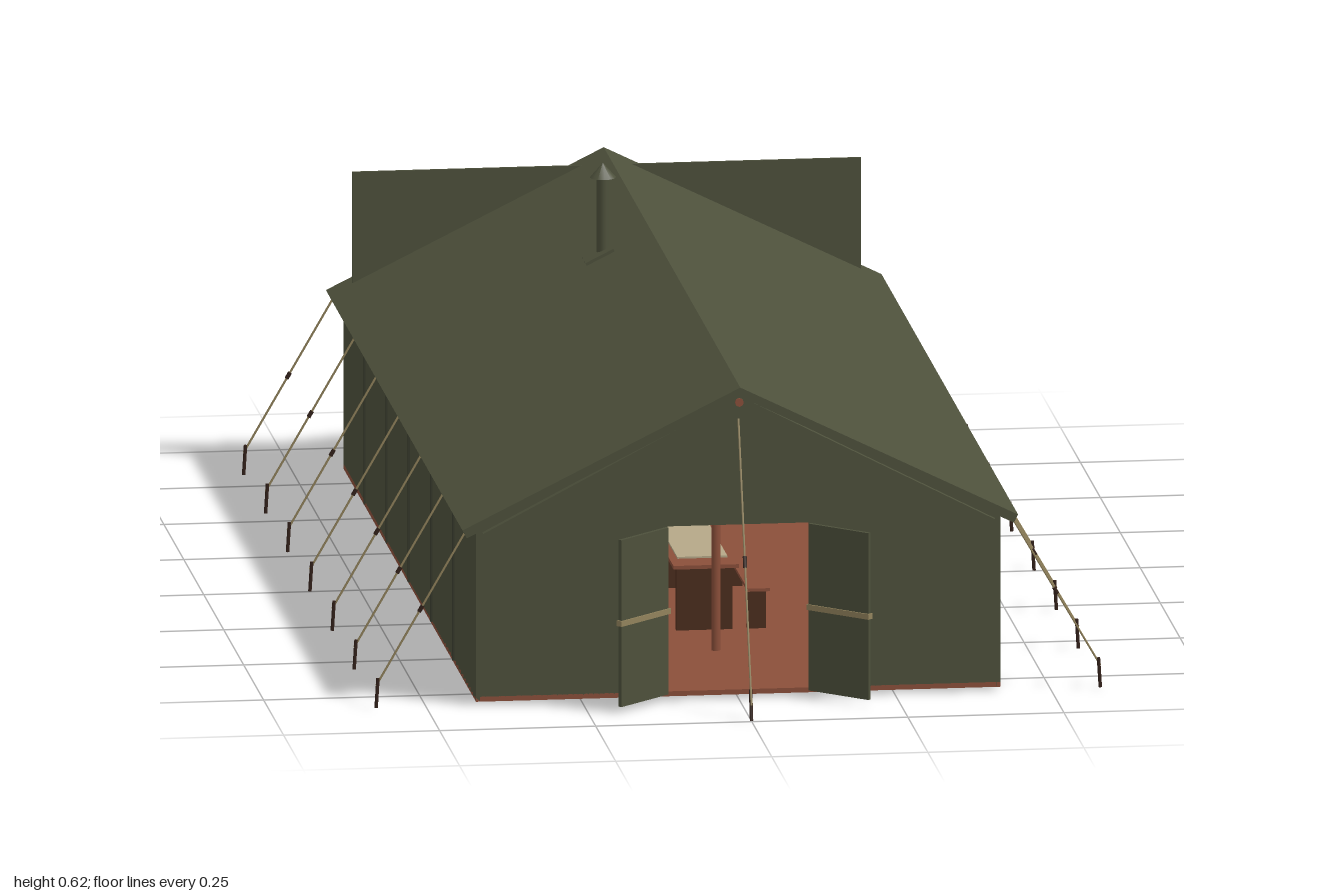
import * as THREE from 'three';

const mat = (name, color, side = THREE.FrontSide) => {
  const m = new THREE.MeshStandardMaterial({ color, side });
  m.name = name;
  return m;
};

export function createModel() {
  const canvas = mat('olive canvas', 0x4d503b);
  const seam = mat('dark olive seam', 0x34372a);
  const red = mat('red brown wood', 0x8b4f3a);
  const brown = mat('dark brown wood', 0x4b2c1c);
  const rope = mat('tan rope', 0x92835c);
  const cream = mat('cream cloth', 0xb5a888);
  const iron = mat('peg brown', 0x33211a);
  const root = new THREE.Group();
  root.name = 'tent';

  const add = (name, geo, material, x = 0, y = 0, z = 0, parent = root) => {
    const m = new THREE.Mesh(geo, material);
    m.name = name;
    m.position.set(x, y, z);
    parent.add(m);
    return m;
  };
  const box = (name, w, h, d, material, x, y, z, parent) =>
    add(name, new THREE.BoxGeometry(w, h, d), material, x, y, z, parent);
  // Outline in x and y, extruded along z from a starting depth
  const extrude = (name, pts, depth, z, material, hole) => {
    const shape = new THREE.Shape(pts.map(p => new THREE.Vector2(...p)));
    if (hole) shape.holes.push(new THREE.Path(hole.map(p => new THREE.Vector2(...p))));
    return add(name, new THREE.ExtrudeGeometry(shape, { depth, bevelEnabled: false }), material, 0, 0, z);
  };
  // Thin rod between two points
  const rod = (name, a, b, r, material, sides = 6) => {
    const p = new THREE.Vector3(...a), q = new THREE.Vector3(...b);
    const m = add(name, new THREE.CylinderGeometry(r, r, p.distanceTo(q), sides), material);
    m.position.copy(p).add(q).multiplyScalar(0.5);
    m.quaternion.setFromUnitVectors(new THREE.Vector3(0, 1, 0), q.sub(p).normalize());
    return m;
  };

  // Floor
  box('floor', 0.84, 0.008, 1.66, red, 0, 0.009, 0);

  // Side walls with vertical seams
  const stations = [0.83, 0.555, 0.28, 0, -0.28, -0.555, -0.83];
  for (const s of [-1, 1]) {
    box('sideWall', 0.006, 0.275, 1.66, canvas, s * 0.417, 0.1435, 0);
    for (const z of stations.slice(1, -1)) box('wallSeam', 0.004, 0.27, 0.006, seam, s * 0.421, 0.145, z);
  }

  // Gable walls, the front one cut for the doorway
  const gable = [[-0.42, 0.007], [0.42, 0.007], [0.42, 0.284], [0, 0.496], [-0.42, 0.284]];
  const door = [[-0.42, 0.007], [-0.113, 0.007], [-0.113, 0.282], [0.113, 0.282], [0.113, 0.007],
    [0.42, 0.007], [0.42, 0.284], [0, 0.496], [-0.42, 0.284]];
  extrude('frontWall', door, 0.006, 0.824, canvas);
  extrude('backWall', gable, 0.006, -0.83, canvas);

  // Roof slab and stepped gable bands
  extrude('roof', [[0, 0.511], [-0.445, 0.291], [-0.438, 0.278], [0, 0.496], [0.438, 0.278], [0.445, 0.291]],
    1.712, -0.856, canvas);
  const band = (end, top) => [[0, top], [-end, 0.281], [-end + 0.035, 0.281], [0, top - 0.017],
    [end - 0.035, 0.281], [end, 0.281]];
  for (const s of [-1, 1]) {
    extrude('gableBand', band(0.41, 0.494), 0.012, s > 0 ? 0.83 : -0.842, canvas);
    extrude('gableBandInner', band(0.375, 0.476), 0.005, s > 0 ? 0.83 : -0.835, canvas);
  }

  // Upright panel crossing the back of the roof
  box('rearPanel', 0.815, 0.185, 0.004, canvas, 0, 0.3985, -0.82);

  // Open door leaves with cross straps
  for (const s of [-1, 1]) {
    const leaf = new THREE.Group();
    leaf.name = 'doorLeaf';
    leaf.position.set(s * 0.114, 0, 0.832);
    leaf.rotation.y = Math.atan2(-0.08, s * 0.086);
    root.add(leaf);
    box('doorPanel', 0.117, 0.272, 0.006, canvas, 0.0585, 0.145, 0, leaf);
    box('doorStrap', 0.122, 0.009, 0.011, rope, 0.0585, 0.145, 0, leaf);
  }

  // Guy ropes with sliders and leaning pegs
  const guy = (top, foot, out) => {
    rod('guyRope', top, foot, 0.0018, rope);
    const mid = t => top.map((v, i) => v + (foot[i] - v) * t);
    rod('ropeSlider', mid(0.48), mid(0.52), 0.0035, iron);
    const peg = [foot[0], 0, foot[2]];
    rod('peg', [peg[0] - out[0] * 0.003, 0.048, peg[2] - out[1] * 0.012], peg, 0.003, iron);
  };
  for (const s of [-1, 1]) {
    for (const z of stations) guy([s * 0.437, 0.283, z], [s * 0.58, 0.036, z], [s, 0]);
    guy([0, 0.455, s * 0.832], [0, 0.025, s * 0.997], [0, s]);
  }

  // Ridge beam and poles
  rod('ridgeBeam', [0, 0.484, 0.845], [0, 0.484, -0.845], 0.007, red, 8);
  for (const z of [0.55, 0, -0.55]) rod('pole', [0, 0.012, z], [0, 0.48, z], 0.007, red, 8);

  // Stove, stovepipe, roof collar and cap
  box('stove', 0.07, 0.1, 0.11, seam, -0.075, 0.063, -0.28);
  rod('stovepipe', [-0.075, 0.11, -0.28], [-0.075, 0.6, -0.28], 0.01, canvas, 12);
  add('chimneyCap', new THREE.ConeGeometry(0.021, 0.024, 12), canvas, -0.075, 0.608, -0.28);
  box('roofCollar', 0.05, 0.006, 0.06, canvas, -0.083, 0.472, -0.28).rotation.z = 0.459;

  // Table with a cloth, and benches on both sides
  box('tableTop', 0.105, 0.006, 0.36, red, 0, 0.121, 0.25);
  box('tableCloth', 0.08, 0.003, 0.26, cream, 0, 0.1255, 0.25);
  for (const z of [0.1, 0.4]) box('tableTrestle', 0.09, 0.105, 0.012, brown, 0, 0.0655, z);
  for (const s of [-1, 1]) {
    box('benchSeat', 0.036, 0.005, 0.36, red, s * 0.084, 0.081, 0.25);
    for (const z of [0.1, 0.4]) box('benchLeg', 0.03, 0.066, 0.012, brown, s * 0.084, 0.0455, z);
  }

  // Cots along the walls
  for (const s of [-1, 1]) for (const z of [-0.55, 0, 0.5]) {
    box('cot', 0.13, 0.012, 0.36, cream, s * 0.31, 0.08, z);
    for (const e of [-1, 1]) box('cotLeg', 0.12, 0.062, 0.01, brown, s * 0.31, 0.044, z + e * 0.15);
  }
  return root;
}
